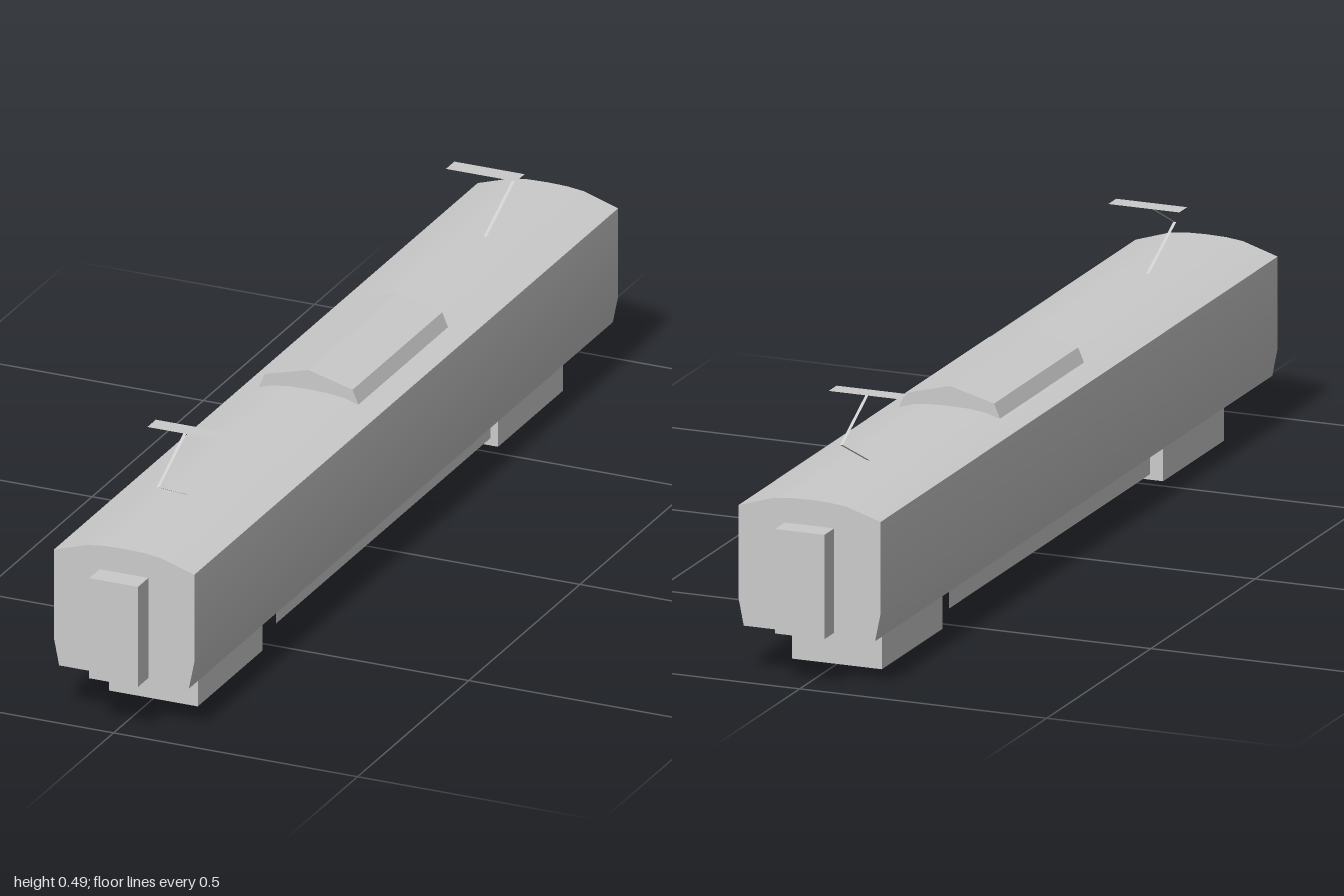
import * as THREE from 'three';
import { toCreasedNormals } from 'three/addons/utils/BufferGeometryUtils.js';

const material = new THREE.MeshStandardMaterial({ color: 0xcccccc, side: THREE.DoubleSide });

// Open sheet: an (x, y) polyline swept from z0 to z1
function sheet(points, z0, z1) {
  const pos = [];
  for (let i = 0; i < points.length - 1; i++) {
    const [ax, ay] = points[i], [bx, by] = points[i + 1];
    pos.push(ax, ay, z1, ax, ay, z0, bx, by, z0);
    pos.push(ax, ay, z1, bx, by, z0, bx, by, z1);
  }
  const g = new THREE.BufferGeometry();
  g.setAttribute('position', new THREE.Float32BufferAttribute(pos, 3));
  return toCreasedNormals(g, 0.3);
}

// Mirrors the right half of a profile, ending on or beside the centre line
function mirrored(half) {
  const left = half.filter(([x]) => x > 0).reverse().map(([x, y]) => [-x, y]);
  return [...half, ...left];
}

function add(parent, name, geometry) {
  const mesh = new THREE.Mesh(geometry, material);
  mesh.name = name;
  parent.add(mesh);
  return mesh;
}

// Shell with closed ends and an open underside
function shell(parent, name, half, z0, z1) {
  const group = new THREE.Group();
  group.name = name;
  const profile = mirrored(half);
  add(group, name + 'Skin', sheet(profile, z0, z1));
  const shape = new THREE.Shape(profile.map(([x, y]) => new THREE.Vector2(x, y)));
  add(group, name + 'FrontEnd', new THREE.ShapeGeometry(shape).translate(0, 0, z1));
  add(group, name + 'BackEnd', new THREE.ShapeGeometry(shape).rotateY(Math.PI).translate(0, 0, z0));
  parent.add(group);
}

export function createModel() {
  const model = new THREE.Group();
  model.name = 'railcar';

  // Car body with a shallow curved roof
  shell(model, 'body', [
    [0.133, 0.095], [0.144, 0.15], [0.144, 0.328], [0.074, 0.35], [0.04, 0.354], [0, 0.355],
  ], -0.953, 0.953);

  // Roof unit
  shell(model, 'roofUnit', [[0.102, 0.342], [0.09, 0.37], [0, 0.394]], -0.28, 0.123);

  // Gangways at both ends
  const gangway = [[0.05, 0.102], [0.05, 0.305]];
  shell(model, 'frontGangway', gangway, 0.953, 1);
  shell(model, 'backGangway', gangway, -1, -0.953);

  // Underfloor side skirts
  for (const [side, s] of [['left', 1], ['right', -1]]) {
    const edge = s > 0 ? [[0.09, 0.03], [0.09, 0.095]] : [[-0.09, 0.095], [-0.09, 0.03]];
    add(model, side + 'Skirt', sheet(edge, -0.497, 0.467));
  }

  for (const [end, s] of [['front', 1], ['back', -1]]) {
    // Bogie: four upright walls, open above and below
    const w = 0.091, l = 0.146;
    const loop = [[-w, -l], [w, -l], [w, l], [-w, l], [-w, -l]];
    const bogie = add(model, end + 'Bogie', sheet(loop, 0, 0.096).rotateX(-Math.PI / 2));
    bogie.position.z = 0.675 * s;

    // Pantograph: folded thin arm carrying a flat contact plate
    const pantograph = new THREE.Group();
    pantograph.name = end + 'Pantograph';
    const arm = [[0.67, 0.355], [0.8, 0.42], [0.67, 0.487]];
    add(pantograph, 'arm', sheet(arm, -0.003, 0.003).rotateY(-Math.PI / 2));
    add(pantograph, 'contactPlate',
      new THREE.PlaneGeometry(0.144, 0.038).rotateX(-Math.PI / 2).translate(0, 0.487, 0.671));
    if (s < 0) pantograph.rotation.y = Math.PI;
    model.add(pantograph);
  }
  return model;
}
